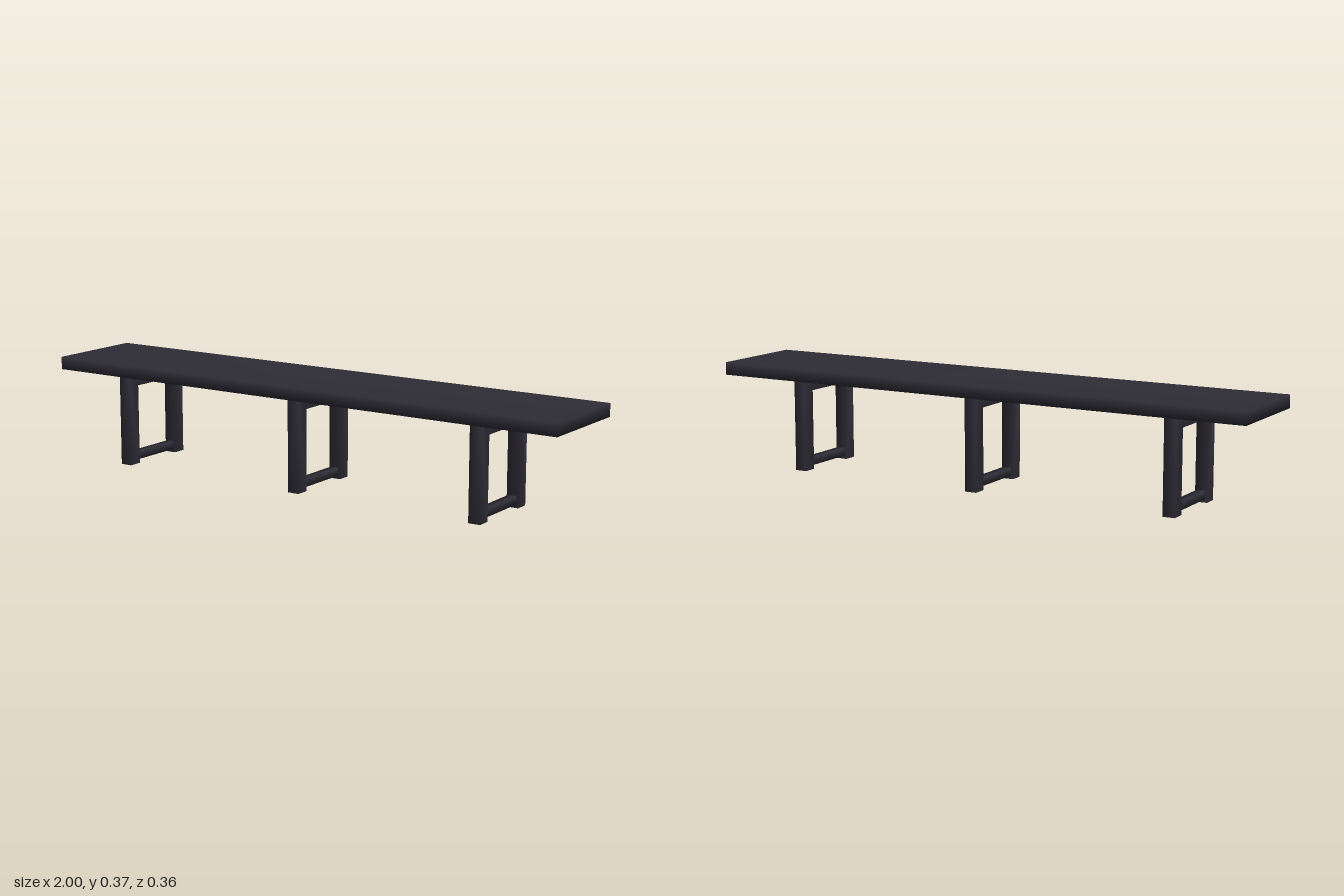
import * as THREE from 'three';
import { mergeVertices } from 'three/addons/utils/BufferGeometryUtils.js';

// Weld shared corners so the shading rolls softly over the edges
function weld(geometry) {
  geometry.deleteAttribute('uv');
  geometry.deleteAttribute('normal');
  const welded = mergeVertices(geometry, 1e-4);
  welded.computeVertexNormals();
  return welded;
}

export function createModel() {
  const bench = new THREE.Group();
  bench.name = 'bench';
  const material = new THREE.MeshStandardMaterial({ color: 0x2e2c35 });

  const add = (parent, name, geometry, x, y, z) => {
    const mesh = new THREE.Mesh(geometry, material);
    mesh.name = name;
    mesh.position.set(x, y, z);
    parent.add(mesh);
  };

  // Seat plank
  add(bench, 'seat', weld(new THREE.BoxGeometry(2, 0.045, 0.363)), 0, 0.3475, 0);

  // Upside-down U frame, drawn in the z-y plane and extruded across x
  const legWidth = 0.043;
  const outer = 0.15, inner = 0.101, top = 0.326, under = 0.284;
  const outline = new THREE.Shape([
    [-outer, 0], [-inner, 0], [-inner, under], [inner, under],
    [inner, 0], [outer, 0], [outer, top], [-outer, top],
  ].map(([z, y]) => new THREE.Vector2(z, y)));
  const frame = new THREE.ExtrudeGeometry(outline, { depth: legWidth, bevelEnabled: false });
  frame.translate(0, 0, -legWidth / 2).rotateY(Math.PI / 2);
  const frameGeometry = weld(frame);

  // Low stretcher between the two feet
  const railGeometry = weld(new THREE.BoxGeometry(0.029, 0.029, inner * 2));

  // Three leg frames along the seat
  [-0.732, 0, 0.7].forEach((x, i) => {
    const leg = new THREE.Group();
    leg.name = ['rightLeg', 'middleLeg', 'leftLeg'][i];
    leg.position.x = x;
    add(leg, 'legFrame', frameGeometry, 0, 0, 0);
    add(leg, 'footRail', railGeometry, 0, 0.0265, 0);
    bench.add(leg);
  });

  return bench;
}
